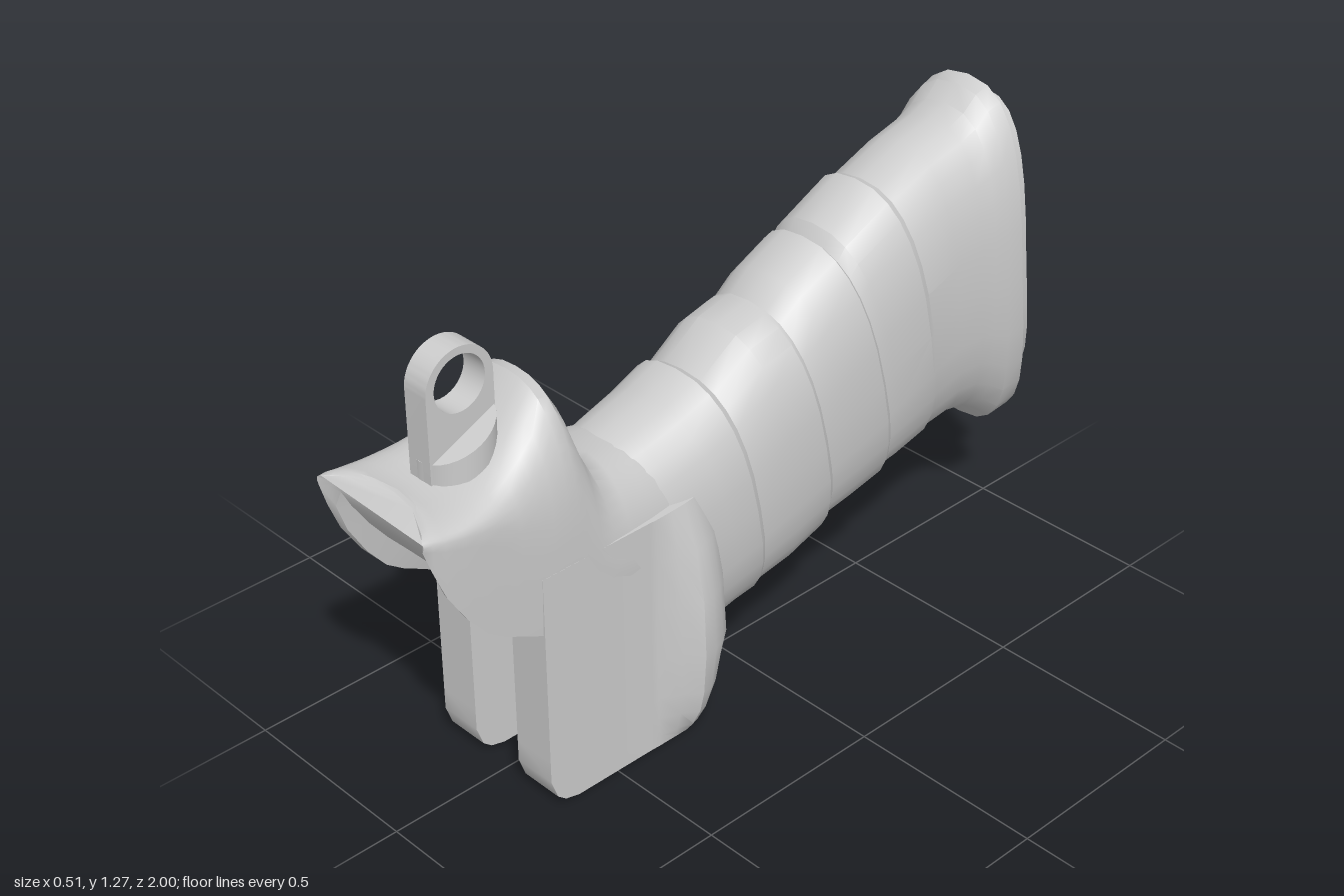
import * as THREE from 'three';
import { toCreasedNormals } from 'three/addons/utils/BufferGeometryUtils.js';

const material = new THREE.MeshStandardMaterial({ color: 0xcccccc });

// Skin closed rings of [x, y, z] points and cap both ends.
// Rings run counter-clockwise as seen from the end of the loft; u, v are the cap axes.
function loft(name, rings, u, v, crease = 0.6) {
  const n = rings[0].length, index = [];
  for (let i = 0; i < rings.length - 1; i++) {
    for (let j = 0; j < n; j++) {
      const a = i * n + j, b = i * n + (j + 1) % n;
      index.push(a, b, a + n, b, b + n, a + n);
    }
  }
  const cap = (i, flip) => {
    const outline = rings[i].map(p => new THREE.Vector2(p[u], p[v]));
    for (const [a, b, c] of THREE.ShapeUtils.triangulateShape(outline, [])) {
      index.push(i * n + a, i * n + (flip ? c : b), i * n + (flip ? b : c));
    }
  };
  cap(0, true);
  cap(rings.length - 1, false);
  const geo = new THREE.BufferGeometry();
  geo.setAttribute('position', new THREE.Float32BufferAttribute(rings.flat(2), 3));
  geo.setIndex(index);
  return named(name, toCreasedNormals(geo, crease));
}

function named(name, geo) {
  const mesh = new THREE.Mesh(geo, material);
  mesh.name = name;
  return mesh;
}

const power = (c, n) => Math.sign(c) * Math.pow(Math.abs(c), 2 / n);

// Tilted oval ring between a top and a bottom point
function ovalRing([zTop, yTop, zBottom, yBottom, w, bow = 0]) {
  const ring = [], count = 28;
  for (let j = 0; j < count; j++) {
    const a = (j / count) * Math.PI * 2;
    const s = power(Math.sin(a), 2.5), t = (s + 1) / 2;
    ring.push([
      w * power(Math.cos(a), 2.5),
      THREE.MathUtils.lerp(yBottom, yTop, t),
      THREE.MathUtils.lerp(zBottom, zTop, t) + bow * (1 - s * s),
    ]);
  }
  return ring;
}

// Arched ring with a flat underside, scooped out near the nose
function headRing([z, top, bottom, h, n, w]) {
  const ring = [];
  const mid = Math.max(top - h, bottom + 0.005);
  const scoop = Math.min(0.08, (top - bottom) * 0.4) * THREE.MathUtils.clamp((z - 0.7) / 0.08, 0, 1);
  const dip = 0.07 * Math.pow(Math.max(0, (z - 0.8) / 0.2), 2);
  const add = (x, y) => ring.push([x, y, z - dip * Math.max(0, 1 - (x / 0.175) ** 2)]);
  for (const f of [-0.97, -0.87, -0.8, -0.4, 0, 0.4, 0.8, 0.87, 0.97]) {
    add(w * f, bottom + (Math.abs(f) < 0.85 ? scoop : 0));
  }
  for (let j = 0; j <= 20; j++) {
    const a = (j / 20) * Math.PI;
    add(w * power(Math.cos(a), n), mid + (top - mid) * power(Math.sin(a), n));
  }
  return ring;
}

// Horizontal ring of the forked base: slot in front, flare and round back behind
function baseRing([y, flare, back]) {
  const r = 0.08, k = Math.max(0, 1 - y / r);
  const front = 0.7 - r * (1 - Math.sqrt(1 - k * k));
  const half = [[0.075, 0.4], [0.075, front], [0.189, front], [0.189, 0.39], [0.19, 0.37],
    [0.19 + (flare - 0.19) * 0.45, 0.32]];
  for (let j = 0; j < 8; j++) {
    const a = (j / 8) * Math.PI / 2;
    half.push([flare * Math.cos(a), 0.28 - (0.28 - back) * Math.sin(a)]);
  }
  const other = half.map(([x, z]) => [-x, z]).reverse();
  return [...half, [0, back], ...other].map(([x, z]) => [x, y, z]);
}

export function createModel() {
  const group = new THREE.Group();

  // Handle with stepped wraps: top z, top y, bottom z, bottom y, half width, bow
  const gripRows = [
    [0.4, 0.77, 0.16, 0.15, 0.18],
    [0.33, 0.785, 0.1, 0.175, 0.193],
    [0.22, 0.815, 0.06, 0.19, 0.2],
    [0.13, 0.85, 0.0, 0.2, 0.206],
    [0.11, 0.84, -0.015, 0.208, 0.196],
    [0.0, 0.915, -0.12, 0.225, 0.203],
    [-0.09, 0.935, -0.23, 0.265, 0.205],
    [-0.1, 0.937, -0.25, 0.285, 0.193],
    [-0.16, 0.985, -0.34, 0.3, 0.198],
    [-0.275, 1.04, -0.44, 0.32, 0.201],
    [-0.288, 1.028, -0.46, 0.335, 0.189],
    [-0.31, 1.06, -0.5, 0.34, 0.192],
    [-0.45, 1.127, -0.6, 0.365, 0.196],
    [-0.47, 1.12, -0.62, 0.374, 0.187],
    [-0.6, 1.17, -0.72, 0.386, 0.188, 0.02],
    [-0.71, 1.197, -0.78, 0.375, 0.193, 0.03],
    [-0.76, 1.22, -0.82, 0.35, 0.198, 0.035],
    [-0.8, 1.258, -0.88, 0.3, 0.205, 0.045],
    [-0.84, 1.27, -0.95, 0.31, 0.21, 0.055],
  ];
  group.add(loft('grip', gripRows.reverse().map(ovalRing), 0, 1, 0.45));

  // Inset plate on the rear end
  const capRows = [[-0.9, 1.217, -1.0, 0.39, 0.17, 0.05], [-0.8, 1.217, -0.9, 0.35, 0.17, 0.05]];
  group.add(loft('endCap', capRows.map(ovalRing), 0, 1));

  // Head: z, top, bottom, arch height, arch squareness, half width
  const headRows = [
    [0.28, 0.755, 0.45, 0.25, 2.5, 0.18],
    [0.37, 0.775, 0.47, 0.25, 2.6, 0.187],
    [0.44, 0.787, 0.485, 0.25, 2.6, 0.19],
    [0.49, 0.81, 0.485, 0.25, 2.6, 0.19],
    [0.53, 0.9, 0.485, 0.3, 2.5, 0.19],
    [0.57, 1.01, 0.485, 0.34, 2.5, 0.19],
    [0.593, 1.05, 0.485, 0.36, 2.5, 0.19],
    [0.62, 1.055, 0.485, 0.36, 2.5, 0.19],
    [0.66, 1.01, 0.487, 0.32, 2.6, 0.19],
    [0.7, 0.965, 0.49, 0.27, 3, 0.19],
    [0.75, 0.92, 0.515, 0.2, 3.5, 0.19],
    [0.8, 0.895, 0.54, 0.12, 4, 0.19],
    [0.85, 0.885, 0.575, 0.08, 4, 0.19],
    [0.9, 0.882, 0.635, 0.06, 4, 0.19],
    [0.95, 0.885, 0.715, 0.05, 4, 0.188],
    [0.98, 0.888, 0.79, 0.04, 4, 0.185],
    [1.0, 0.882, 0.85, 0.02, 4, 0.18],
  ];
  group.add(loft('head', headRows.map(headRing), 0, 1, 0.7));

  // Forked base: height, flare half width, back z
  const baseRows = [
    [0, 0.19, 0.2], [0.01, 0.197, 0.197], [0.03, 0.21, 0.19], [0.08, 0.235, 0.17],
    [0.14, 0.248, 0.135], [0.25, 0.256, 0.09], [0.4, 0.25, 0.1], [0.53, 0.225, 0.11],
    [0.64, 0.186, 0.13],
  ];
  group.add(loft('forkedBase', baseRows.map(baseRing), 2, 0));

  // Round foot of the eyelet, its top sloping up toward the rear
  const foot = new THREE.CylinderGeometry(0.093, 0.093, 0.1, 32).translate(0, 0.9, 0.77);
  const pos = foot.attributes.position;
  for (let i = 0; i < pos.count; i++) {
    if (pos.getY(i) > 0.9) pos.setY(i, 0.93 + (0.863 - pos.getZ(i)) * 0.45);
  }
  group.add(named('eyeletFoot', toCreasedNormals(foot, 0.6)));

  // Upright eyelet with a round hole
  const tab = new THREE.Shape();
  tab.moveTo(-0.09, 0.88);
  tab.lineTo(0.09, 0.88);
  tab.lineTo(0.09, 1.094);
  tab.absarc(0, 1.094, 0.09, 0, Math.PI);
  tab.closePath();
  tab.holes.push(new THREE.Path().absarc(0, 1.097, 0.068, 0, Math.PI * 2, true));
  const eyelet = new THREE.ExtrudeGeometry(tab, { depth: 0.07, bevelEnabled: false, curveSegments: 20 });
  eyelet.rotateY(-Math.PI / 2).translate(0.035, 0, 0.772);
  group.add(named('eyelet', toCreasedNormals(eyelet, 0.6)));

  return group;
}
